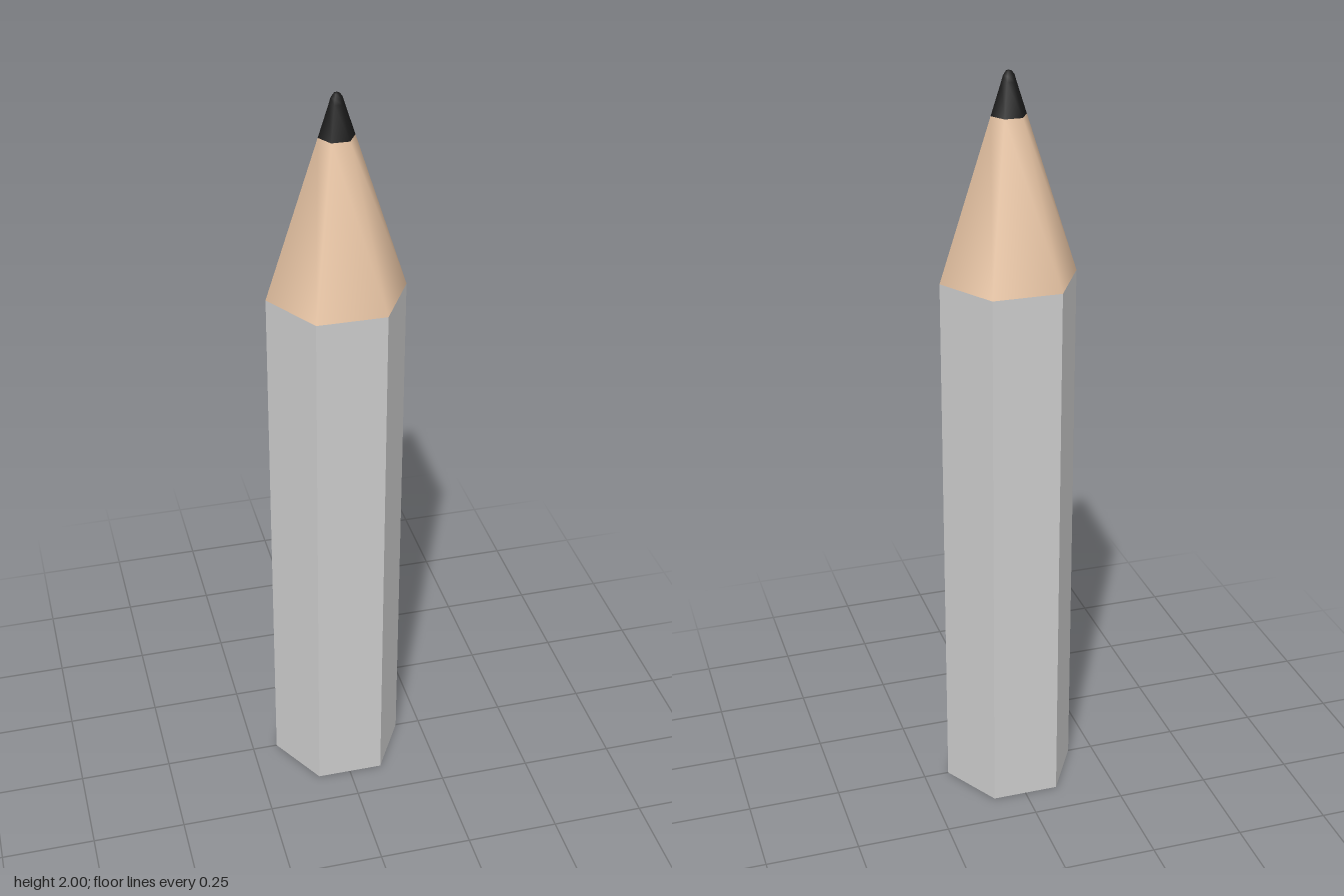
import * as THREE from 'three';

const SIDES = 6;
const START = Math.PI / 2; // puts hexagon corners on the x axis

// Smooth-shaded six-sided lathe from [radius, height] points
function hexLathe(name, points, color) {
  const profile = points.map(([r, y]) => new THREE.Vector2(r, y));
  const mesh = new THREE.Mesh(
    new THREE.LatheGeometry(profile, SIDES, START),
    new THREE.MeshStandardMaterial({ color })
  );
  mesh.name = name;
  return mesh;
}

export function createModel() {
  const pencil = new THREE.Group();
  pencil.name = 'pencil';

  // Flat-sided hexagonal barrel
  const barrel = new THREE.Mesh(
    new THREE.CylinderGeometry(0.181, 0.181, 1.475, SIDES, 1, false, START),
    new THREE.MeshStandardMaterial({ color: 0xcccccc, flatShading: true })
  );
  barrel.name = 'barrel';
  barrel.position.y = 1.475 / 2;
  pencil.add(barrel);

  // Sharpened wood
  pencil.add(hexLathe('sharpenedWood', [[0.181, 1.475], [0.046, 1.89]], 0xe6c3a3));

  // Lead with a rounded point
  pencil.add(hexLathe('leadTip', [
    [0.046, 1.89], [0.019, 1.973], [0.015, 1.987], [0.008, 1.997], [0, 2],
  ], 0x1a1a1a));

  return pencil;
}
